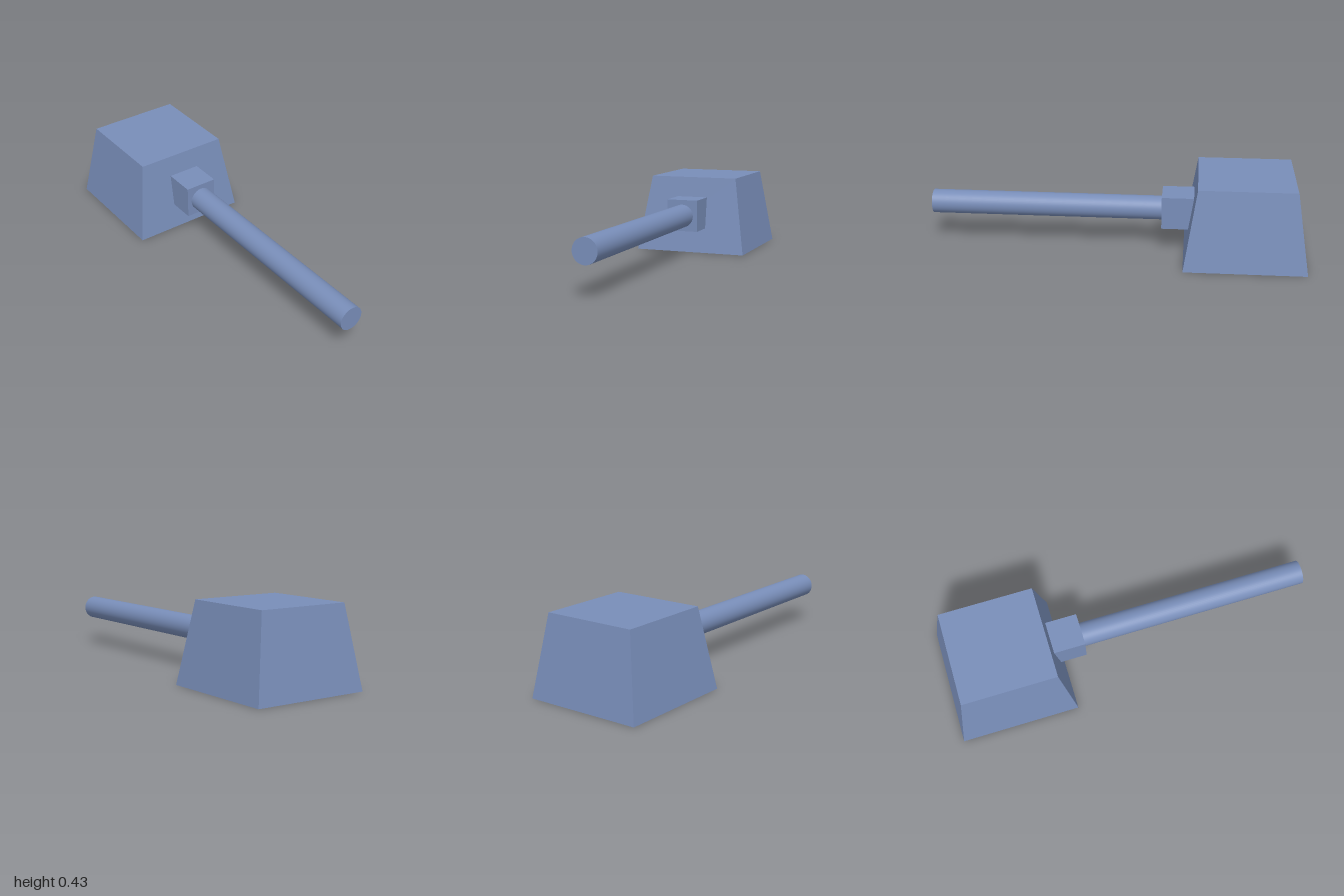
import * as THREE from 'three';

export function createModel() {
  const model = new THREE.Group();
  const color = 0x788db8;
  const flat = new THREE.MeshStandardMaterial({ color, flatShading: true });
  const smooth = new THREE.MeshStandardMaterial({ color });

  const add = (name, geometry, material, x, y) => {
    const mesh = new THREE.Mesh(geometry, material);
    mesh.name = name;
    mesh.position.set(x, y, 0);
    model.add(mesh);
    return mesh;
  };

  // Head: a box whose top is drawn in to a smaller square
  const height = 0.427, bottom = 0.64, top = 0.505;
  const headGeo = new THREE.BoxGeometry(bottom, height, bottom);
  const p = headGeo.attributes.position;
  for (let i = 0; i < p.count; i++) {
    if (p.getY(i) > 0) {
      p.setX(i, p.getX(i) * top / bottom);
      p.setZ(i, p.getZ(i) * top / bottom);
    }
  }
  headGeo.computeVertexNormals();
  add('head', headGeo, flat, -0.68, height / 2);

  // Square collar, set into the head's sloping side
  const collarEnd = -0.24, collarStart = -0.42;
  add('collar', new THREE.BoxGeometry(collarEnd - collarStart, 0.176, 0.176), flat,
    (collarStart + collarEnd) / 2, 0.227);

  // Round handle along x
  const handle = add('handle', new THREE.CylinderGeometry(0.064, 0.064, 1 - collarEnd, 48), smooth,
    (1 + collarEnd) / 2, 0.225);
  handle.rotation.z = -Math.PI / 2;

  return model;
}
